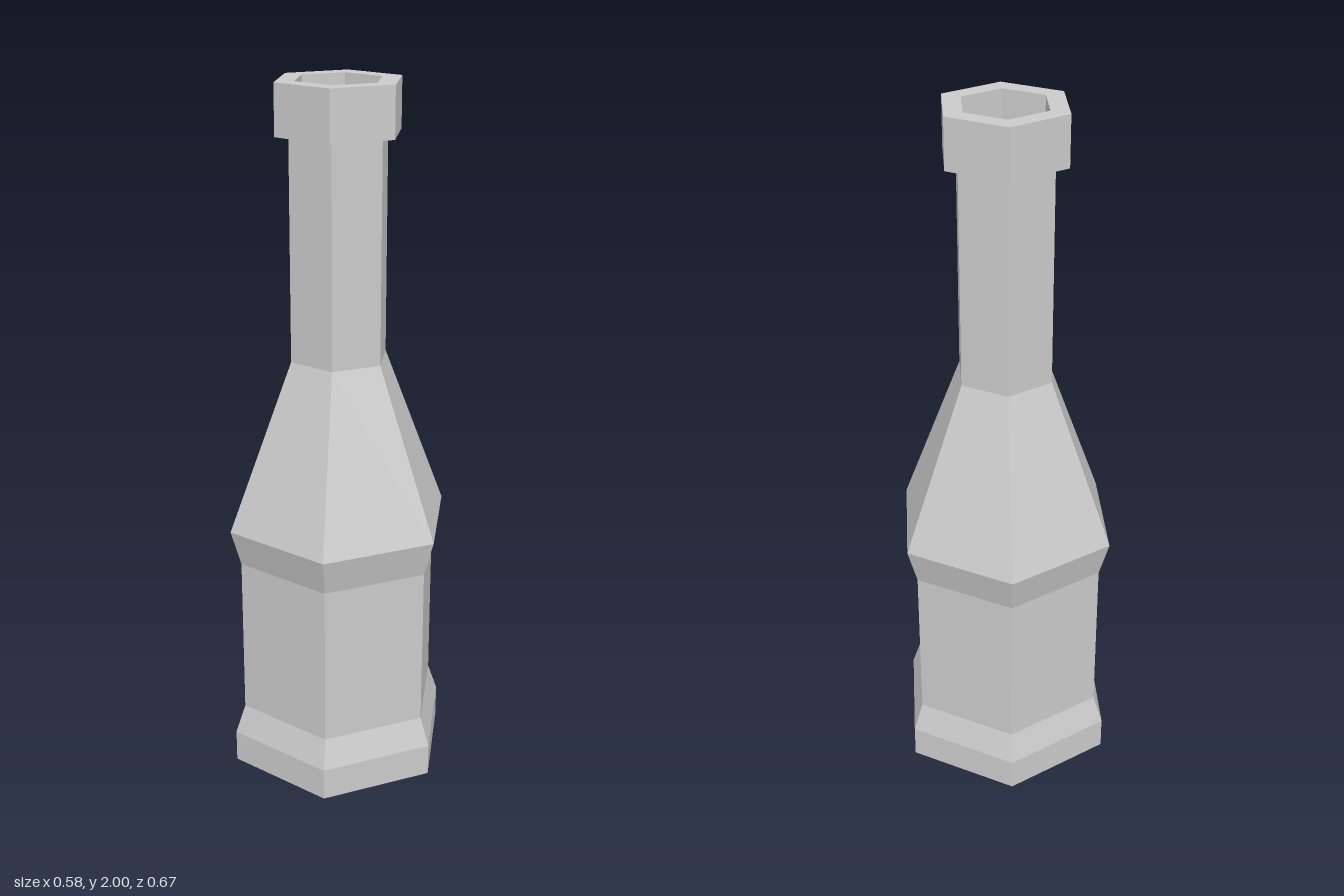
import * as THREE from 'three';

const SIDES = 6;

// Revolve [radius, height] pairs into a faceted six-sided part with corners on the z axis
function hexPart(name, profile) {
  const points = profile.map(([r, y]) => new THREE.Vector2(r, y));
  const material = new THREE.MeshStandardMaterial({ color: 0xcccccc, flatShading: true });
  const mesh = new THREE.Mesh(new THREE.LatheGeometry(points, SIDES), material);
  mesh.name = name;
  return mesh;
}

export function createModel() {
  const bottle = new THREE.Group();
  bottle.name = 'bottle';

  // Outside, from the base centre up to the collar
  bottle.add(hexPart('outerBody', [
    [0, 0], [0.333, 0], [0.333, 0.095], [0.303, 0.18], [0.303, 0.65],
    [0.333, 0.755], [0.143, 1.24], [0.143, 1.86],
  ]));

  // Collar with its underside, outer wall, rim, bore and inner step
  bottle.add(hexPart('collar', [
    [0.143, 1.86], [0.182, 1.86], [0.182, 2], [0.125, 2], [0.125, 1.83], [0.1, 1.83],
  ]));

  // Hollow inside, from the neck down to the floor
  bottle.add(hexPart('innerWall', [
    [0.1, 1.83], [0.1, 1.23], [0.28, 0.755], [0.255, 0.65],
    [0.255, 0.18], [0.28, 0.095], [0.28, 0.05], [0, 0.05],
  ]));

  return bottle;
}
